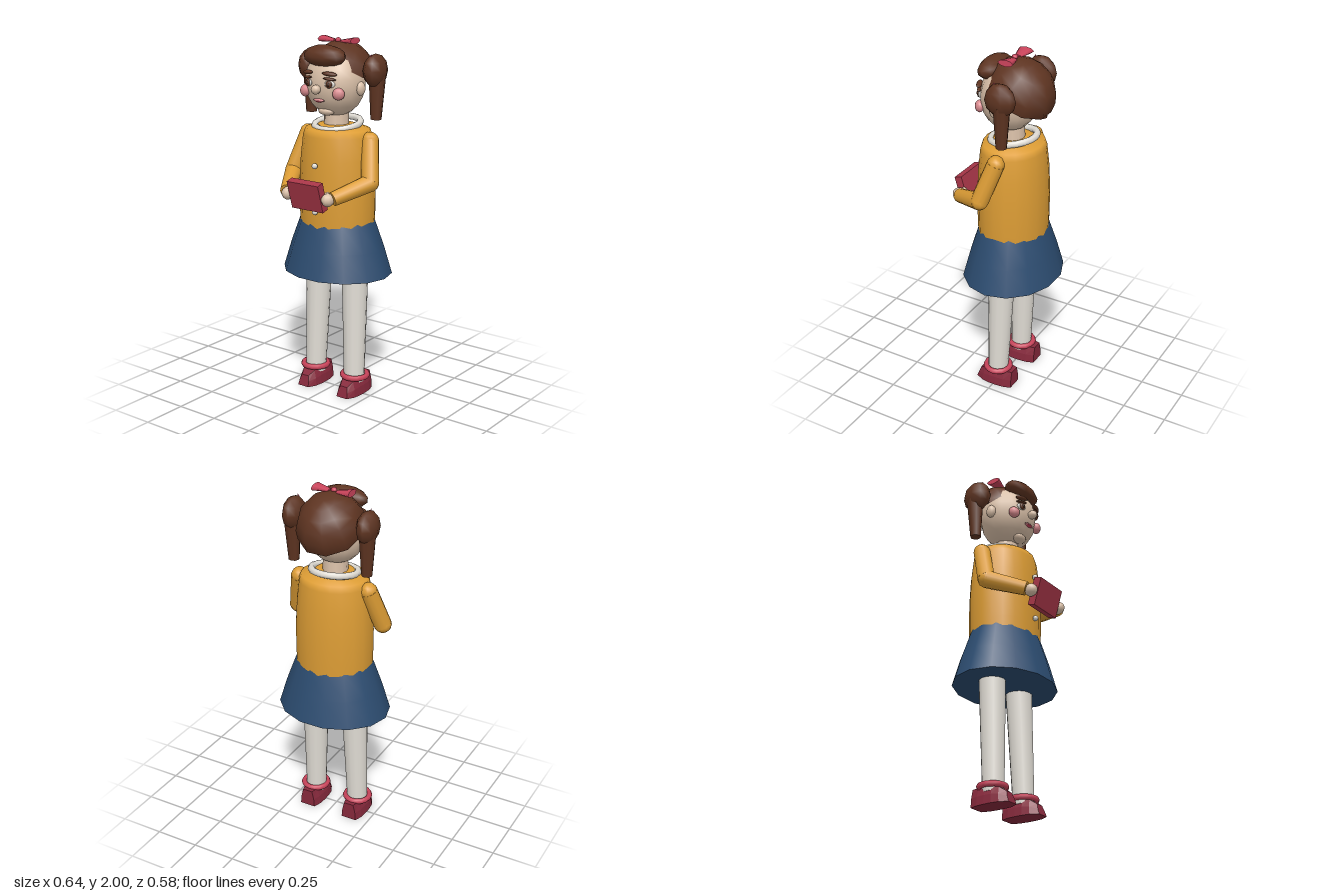
import * as THREE from 'three';

export function createModel() {
  const group = new THREE.Group();
  const mat = (name, color) => {
    const m = new THREE.MeshStandardMaterial({ color });
    m.name = name;
    return m;
  };
  const skin = mat('skin', 0xdcc2aa), hair = mat('brown hair', 0x5e3421);
  const mustard = mat('mustard wool', 0xdd9d35), navy = mat('navy cloth', 0x2c4c70);
  const white = mat('off white', 0xe2ded6), pink = mat('ribbon pink', 0xc8435a);
  const red = mat('book red', 0xa83648), maroon = mat('shoe maroon', 0x86293c);
  const rosy = mat('rosy cheek', 0xd98a8e), dark = mat('dark eye', 0x3a2218);

  const add = (name, geo, material, pos = [0, 0, 0], rot = [0, 0, 0], scale = [1, 1, 1]) => {
    const m = new THREE.Mesh(geo, material);
    m.name = name;
    m.position.set(...pos);
    m.rotation.set(...rot);
    m.scale.set(...scale);
    group.add(m);
    return m;
  };
  const blob = (name, material, pos, radii, rot = [0, 0, 0], seg = 10) =>
    add(name, new THREE.SphereGeometry(1, seg, Math.max(6, Math.round(seg * 0.7))), material, pos, rot, radii);
  const lathe = (name, pts, seg, material, pos, scale) =>
    add(name, new THREE.LatheGeometry(pts.map(p => new THREE.Vector2(...p)), seg, Math.PI / 2), material, pos, [0, 0, 0], scale);
  // Tapered tube from a to b
  const limb = (name, a, b, ra, rb, material, seg = 12) => {
    const A = new THREE.Vector3(...a), B = new THREE.Vector3(...b), d = B.clone().sub(A);
    const m = add(name, new THREE.CylinderGeometry(rb, ra, d.length(), seg), material);
    m.position.copy(A).add(B).multiplyScalar(0.5);
    m.quaternion.setFromUnitVectors(new THREE.Vector3(0, 1, 0), d.normalize());
    return m;
  };

  // Skirt and cardigan body share one oval section
  lathe('skirt', [[0.322, 0.7], [0.275, 0.85], [0.225, 0.985], [0.2, 1.04]], 14, navy, [0, 0, -0.025], [1, 1, 0.84]);
  const hem = new THREE.CircleGeometry(0.322, 14);
  add('skirtUnderside', hem, navy, [0, 0.7, -0.025], [Math.PI / 2, 0, 0], [1, 0.84, 1]);
  lathe('cardigan', [[0.216, 0.96], [0.219, 1.05], [0.22, 1.2], [0.212, 1.35], [0.198, 1.47], [0.185, 1.505],
    [0.1, 1.53], [0, 1.535]], 20, mustard, [0, 0, -0.025], [1, 1, 0.87]);
  add('collar', new THREE.TorusGeometry(0.125, 0.019, 8, 20), white, [0, 1.53, -0.025], [Math.PI / 2 + 0.16, 0, 0]);
  for (const y of [1.07, 1.2, 1.325]) blob('button', white, [0, y, 0.18], [0.016, 0.016, 0.016]);

  // Head
  limb('neck', [0, 1.5, -0.015], [0, 1.64, -0.015], 0.07, 0.065, skin);
  blob('head', skin, [0, 1.76, -0.005], [0.17, 0.188, 0.158], [0, 0, 0], 16);
  blob('chin', skin, [0, 1.61, 0.07], [0.05, 0.025, 0.04]);
  blob('nose', skin, [0, 1.735, 0.167], [0.025, 0.026, 0.029], [0, 0, 0], 8);
  blob('mouth', rosy, [0, 1.675, 0.14], [0.037, 0.009, 0.012]);
  blob('lowerLip', pink, [0, 1.67, 0.142], [0.022, 0.006, 0.012]);

  // Hair cap, tipped backwards, and fringe
  add('hairCap', new THREE.SphereGeometry(1, 10, 5, 0, Math.PI * 2, 0, Math.PI * 0.53), hair,
    [0, 1.79, -0.06], [-0.47, 0, 0], [0.183, 0.187, 0.195]);
  blob('fringe', hair, [0, 1.905, 0.09], [0.135, 0.058, 0.07], [0.25, 0, 0], 10);
  blob('bowKnot', pink, [0, 1.978, -0.03], [0.017, 0.015, 0.017], [0, 0, 0], 7);

  // Book, tipped forwards at the top
  add('book', new THREE.BoxGeometry(0.21, 0.16, 0.045), red, [0, 1.177, 0.245], [0.286, 0, 0]);

  // Shoe: a box narrowed towards the top and the toe
  const shoe = new THREE.BoxGeometry(0.13, 0.1, 0.23, 2, 2, 5).toNonIndexed();
  const p = shoe.attributes.position;
  for (let i = 0; i < p.count; i++) {
    const h = p.getY(i) / 0.1 + 0.5, t = Math.max(0, p.getZ(i) / 0.115);
    const end = Math.abs(p.getZ(i)) / 0.115;
    p.setX(i, p.getX(i) * (1 - 0.35 * h * h) * (1 - (t > 0 ? 0.45 : 0.3) * end ** 3));
    p.setY(i, h * (0.1 - 0.04 * t * t));
    p.setZ(i, p.getZ(i) - 0.02 * h * t);
  }
  shoe.computeVertexNormals();

  for (const s of [1, -1]) {
    // Face
    blob('ear', skin, [s * 0.168, 1.735, -0.005], [0.022, 0.038, 0.03]);
    blob('eyeWhite', white, [s * 0.07, 1.765, 0.138], [0.03, 0.02, 0.01], [0, s * 0.35, 0]);
    blob('iris', hair, [s * 0.07, 1.765, 0.146], [0.018, 0.021, 0.01], [0, s * 0.3, 0]);
    blob('pupil', dark, [s * 0.07, 1.765, 0.152], [0.009, 0.011, 0.008], [0, s * 0.3, 0]);
    blob('eyelid', hair, [s * 0.072, 1.793, 0.141], [0.036, 0.008, 0.012], [0, s * 0.4, -s * 0.1]);
    blob('eyebrow', hair, [s * 0.072, 1.82, 0.141], [0.042, 0.012, 0.016], [0, s * 0.35, -s * 0.08]);
    blob('cheek', rosy, [s * 0.112, 1.715, 0.117], [0.033, 0.033, 0.026], [0, s * 0.6, 0]);

    // Pigtail with ribbon tie
    blob('pigtailBun', hair, [s * 0.218, 1.828, -0.068], [0.057, 0.09, 0.088], [0, 0, 0], 9);
    limb('pigtail', [s * 0.219, 1.565, -0.075], [s * 0.222, 1.8, -0.08], 0.03, 0.047, hair, 8);
    add('ribbonTie', new THREE.ConeGeometry(0.024, 0.055, 5), pink, [s * 0.208, 1.893, -0.036], [0.3, 0, -s * 0.35]);

    // Bow wing, flat and wide at its outer end
    const wing = new THREE.CylinderGeometry(0.045, 0.02, 0.085, 8).scale(0.4, 1, 1).rotateZ(-Math.PI / 2);
    if (s < 0) wing.rotateY(Math.PI);
    add('bowWing', wing, pink, [s * 0.066, 1.977, -0.035], [0, 0, s * 0.08]);

    // Arm
    const shoulder = [s * 0.21, 1.455, -0.035], elbow = [s * 0.262, 1.243, 0.035], wrist = [s * 0.155, 1.175, 0.225];
    blob('shoulder', mustard, shoulder, [0.048, 0.048, 0.048]);
    limb('upperArm', shoulder, elbow, 0.048, 0.049, mustard);
    blob('elbow', mustard, elbow, [0.049, 0.049, 0.049]);
    limb('forearm', elbow, wrist, 0.049, 0.039, mustard);
    blob('hand', skin, [s * 0.135, 1.17, 0.242], [0.034, 0.036, 0.038]);
    blob('thumb', skin, [s * 0.118, 1.19, 0.222], [0.018, 0.018, 0.018], [0, 0, 0], 7);

    // Leg
    limb('leg', [s * 0.137, 0.07, 0], [s * 0.124, 0.76, -0.022], 0.058, 0.075, white, 14);
    add('ankleTrim', new THREE.TorusGeometry(0.07, 0.016, 7, 16), pink, [s * 0.14, 0.103, -0.002], [Math.PI / 2, 0, 0]);
    add('shoe', shoe, maroon, [s * 0.138, 0, 0.006]);
  }
  return group;
}
